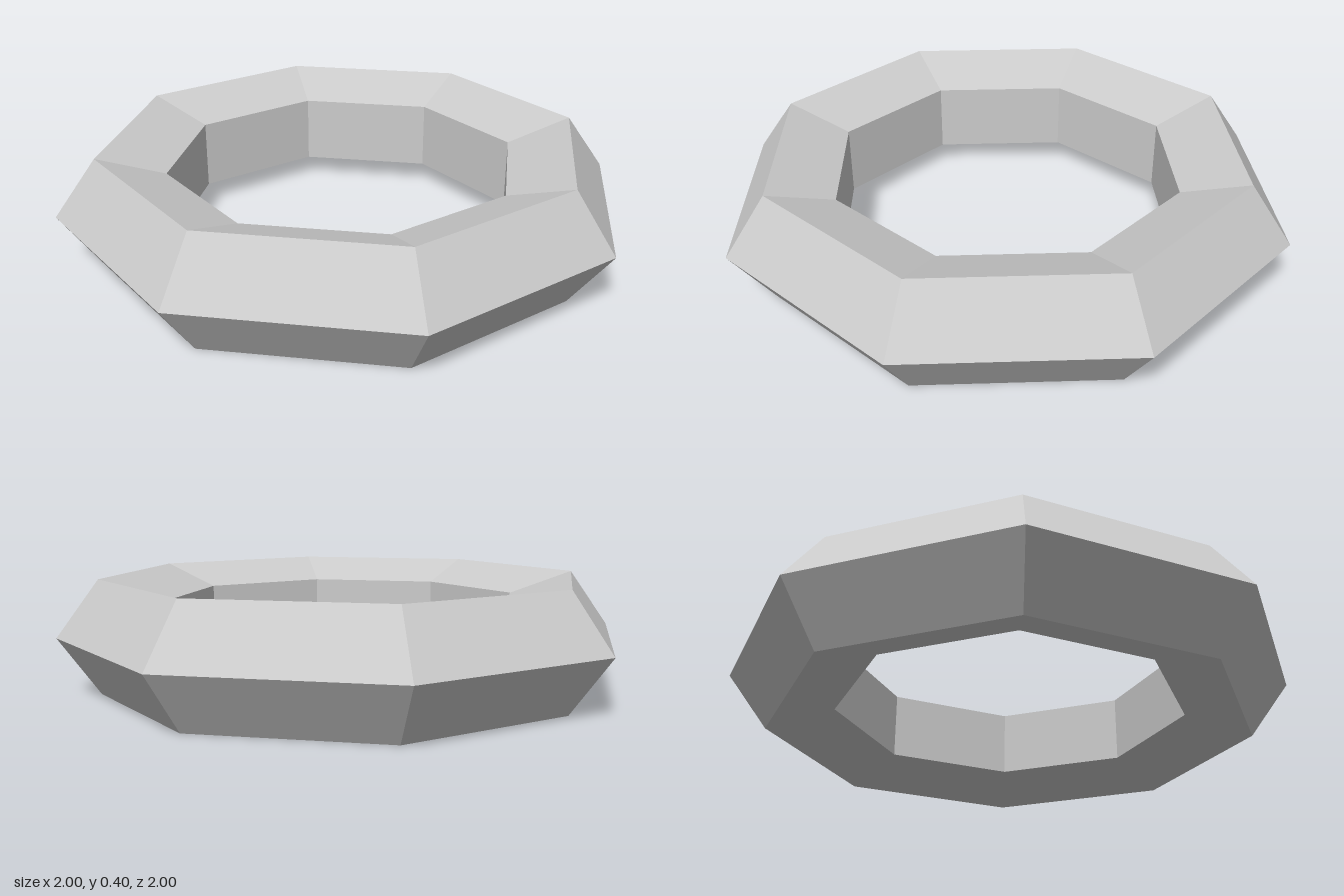
import * as THREE from 'three';

export function createModel() {
  const group = new THREE.Group();
  group.name = 'ringModel';

  // Eight-sided ring with a pentagonal section, point facing outward
  const tubeRadius = 0.21;
  const ringRadius = 1 - tubeRadius;
  const geometry = new THREE.TorusGeometry(ringRadius, tubeRadius, 5, 8);
  geometry.rotateX(-Math.PI / 2);
  geometry.translate(0, tubeRadius * Math.sin(Math.PI * 2 / 5), 0); // rest on y = 0

  const ring = new THREE.Mesh(
    geometry,
    new THREE.MeshStandardMaterial({ color: 0xcccccc, flatShading: true })
  );
  ring.name = 'ring';
  group.add(ring);
  return group;
}
